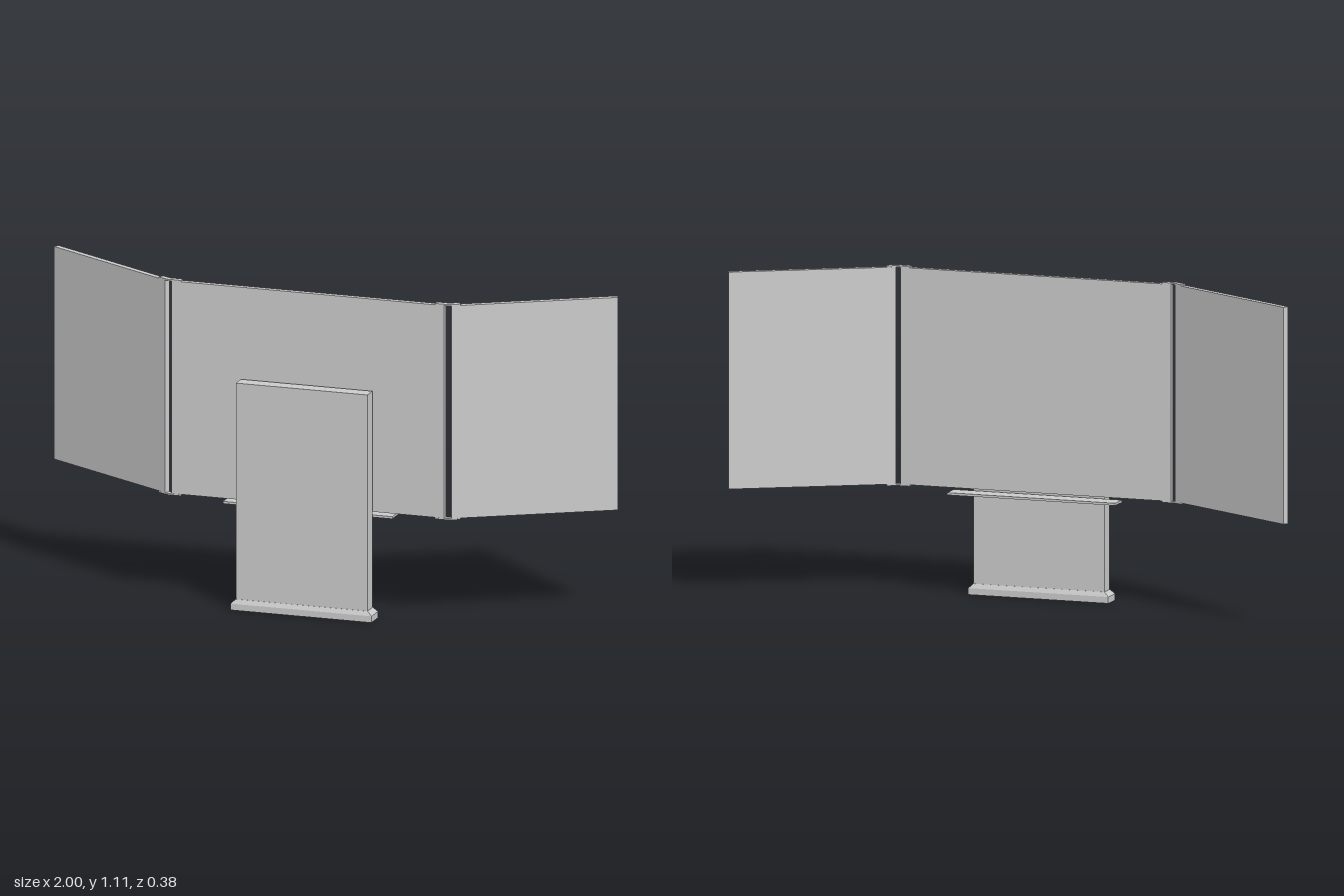
import * as THREE from 'three';

const material = new THREE.MeshStandardMaterial({ color: 0xcccccc, flatShading: true });

function addMesh(parent, name, geometry, x = 0, y = 0, z = 0) {
  const mesh = new THREE.Mesh(geometry, material);
  mesh.name = name;
  mesh.position.set(x, y, z);
  parent.add(mesh);
  return mesh;
}

// Box given by its lower and upper limits on each axis
function addBox(parent, name, [x0, x1], [y0, y1], [z0, z1]) {
  const geometry = new THREE.BoxGeometry(x1 - x0, y1 - y0, z1 - z0);
  return addMesh(parent, name, geometry, (x0 + x1) / 2, (y0 + y1) / 2, (z0 + z1) / 2);
}

// Extrude an x/z outline (points as [x, z]) upwards from y0 to y1
function addPrism(parent, name, points, y0, y1) {
  const shape = new THREE.Shape(points.map(([x, z]) => new THREE.Vector2(x, -z)));
  const geometry = new THREE.ExtrudeGeometry(shape, { depth: y1 - y0, bevelEnabled: false });
  geometry.rotateX(-Math.PI / 2);
  return addMesh(parent, name, geometry, 0, y0, 0);
}

export function createModel() {
  const model = new THREE.Group();
  model.name = 'foldingBoard';

  // Board panels
  const bottom = 0.365, top = 1.103;
  addBox(model, 'centerPanel', [-0.483, 0.483], [bottom, top], [0.099, 0.119]);

  for (const side of [1, -1]) {
    const label = side > 0 ? 'left' : 'right';

    // Wing folded back by 30 degrees
    const wing = [[0.508, 0.115], [1, -0.17], [0.99, -0.188], [0.498, 0.097]];
    addPrism(model, label + 'Wing', wing.map(([x, z]) => [side * x, z]), bottom, top);

    // Thin bent hinge plates bridging the gap above and below
    const plate = [[0.45, 0.12], [0.499, 0.12], [0.535, 0.1], [0.525, 0.082], [0.494, 0.099], [0.45, 0.099]];
    const outline = plate.map(([x, z]) => [side * x, z]);
    addPrism(model, label + 'TopHinge', outline, top, top + 0.005);
    addPrism(model, label + 'BottomHinge', outline, bottom - 0.005, bottom);
  }

  // Tray under the centre panel
  addBox(model, 'tray', [-0.3, 0.3], [0.347, 0.355], [0.055, 0.122]);

  // Standing slab in front of the board
  const slabZ = 0.157;
  addBox(model, 'slab', [-0.233, 0.233], [0.01, 0.787], [slabZ - 0.026, slabZ + 0.026]);

  // Plinth with a chamfered upper edge
  addBox(model, 'plinth', [-0.25, 0.25], [0, 0.022], [slabZ - 0.034, slabZ + 0.034]);
  const chamfer = new THREE.BoxGeometry(0.5, 0.015, 0.068);
  const p = chamfer.attributes.position;
  for (let i = 0; i < p.count; i++) {
    if (p.getY(i) > 0) {
      p.setX(i, Math.sign(p.getX(i)) * 0.234);
      p.setZ(i, Math.sign(p.getZ(i)) * 0.027);
    }
  }
  chamfer.computeVertexNormals();
  addMesh(model, 'plinthChamfer', chamfer, 0, 0.0295, slabZ);

  return model;
}
